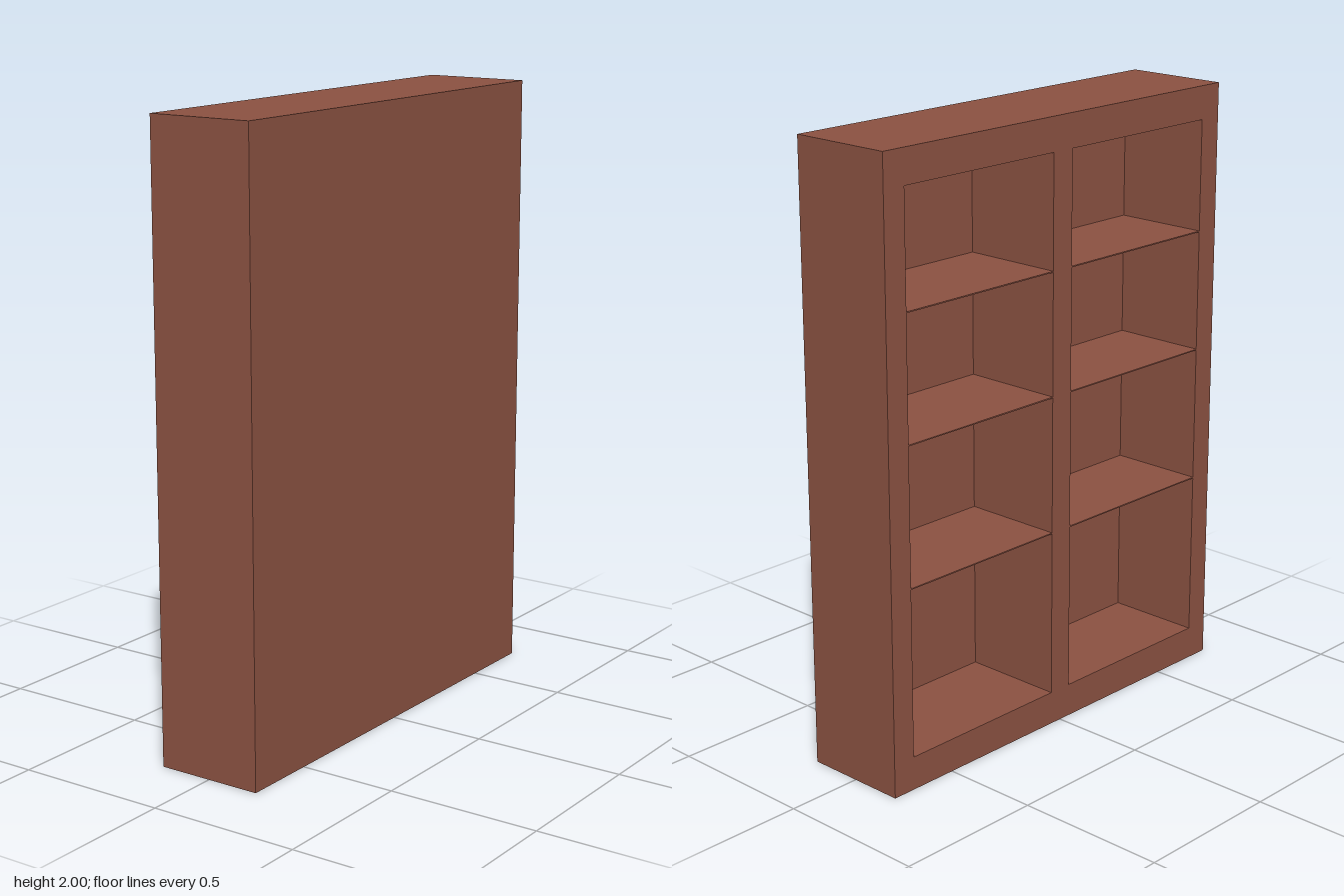
import * as THREE from 'three';

const W = 0.355, H = 2, D = 1.49;          // size along x, y, z
const BACK = 0.01;                         // back panel thickness
const LOW = 0.11, HIGH = 1.89;             // bay bottom and top
const INNER = 0.042, OUTER = 0.664;        // bay edges, measured from the middle

export function createModel() {
  const group = new THREE.Group();
  const wood = new THREE.MeshStandardMaterial({ color: 0x8a5141, flatShading: true });

  const add = (name, geometry) => {
    const mesh = new THREE.Mesh(geometry, wood);
    mesh.name = name;
    group.add(mesh);
  };
  const box = (name, w, h, d, x, y, z) =>
    add(name, new THREE.BoxGeometry(w, h, d).translate(x, y, z));
  const rect = (path, a, b, c, d) => {
    path.moveTo(a, b).lineTo(c, b).lineTo(c, d).lineTo(a, d).closePath();
    return path;
  };

  // Outer frame with two tall bays, open towards -x
  const outline = rect(new THREE.Shape(), -D / 2, 0, D / 2, H);
  outline.holes.push(rect(new THREE.Path(), -OUTER, LOW, -INNER, HIGH));
  outline.holes.push(rect(new THREE.Path(), INNER, LOW, OUTER, HIGH));
  const frame = new THREE.ExtrudeGeometry(outline, { depth: W - BACK, bevelEnabled: false });
  add('frame', frame.rotateY(-Math.PI / 2).translate(W / 2 - BACK, 0, 0));

  // Closed back
  box('backPanel', BACK, H, D, W / 2 - BACK / 2, H / 2, 0);

  // The +z bay is slightly shallower
  const lining = 0.02, bayZ = (INNER + OUTER) / 2, bayWidth = OUTER - INNER;
  box('bayLining', lining, HIGH - LOW, bayWidth, W / 2 - BACK - lining / 2, (LOW + HIGH) / 2, bayZ);

  // Thin shelves, flush with the open side
  const thick = 0.004, depth = W - BACK;
  for (const side of [-1, 1])
    for (const top of [0.667, 1.12, 1.523])
      box('shelf', depth, thick, bayWidth, -BACK / 2, top - thick / 2, side * bayZ);

  return group;
}
